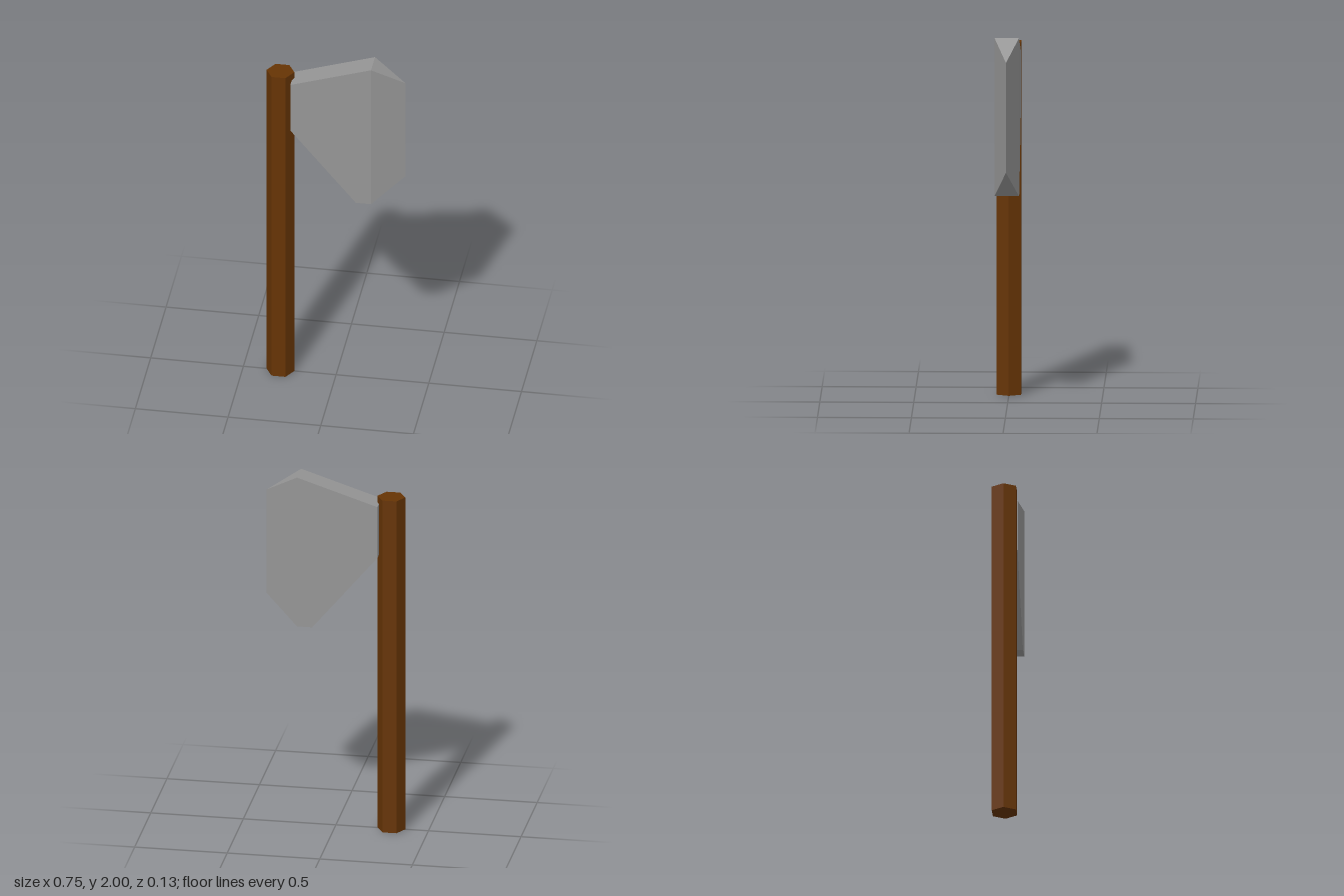
import * as THREE from 'three';
import { ConvexGeometry } from 'three/addons/geometries/ConvexGeometry.js';

export function createModel() {
  const axe = new THREE.Group();
  axe.name = 'axe';

  // Hexagonal wooden shaft with corners pointing along x
  const handle = new THREE.Mesh(
    new THREE.CylinderGeometry(0.075, 0.075, 1.9, 6).rotateY(Math.PI / 2),
    new THREE.MeshStandardMaterial({ color: 0x663404, flatShading: true })
  );
  handle.name = 'handle';
  handle.position.set(-0.3, 0.95, 0);
  axe.add(handle);

  // Flat cheeks of the blade, mirrored front to back
  const halfThickness = 0.065;
  const cheek = [[-0.236, 1.86], [-0.236, 1.57], [0.117, 1.148], [0.199, 1.148], [0.199, 2]];
  const points = cheek.flatMap(([x, y]) =>
    [halfThickness, -halfThickness].map((z) => new THREE.Vector3(x, y, z)));

  // Sharp cutting edge on the centre plane
  points.push(new THREE.Vector3(0.374, 1.895, 0), new THREE.Vector3(0.374, 1.303, 0));

  const blade = new THREE.Mesh(
    new ConvexGeometry(points),
    new THREE.MeshStandardMaterial({ color: 0x959595, flatShading: true })
  );
  blade.name = 'blade';
  axe.add(blade);

  return axe;
}
